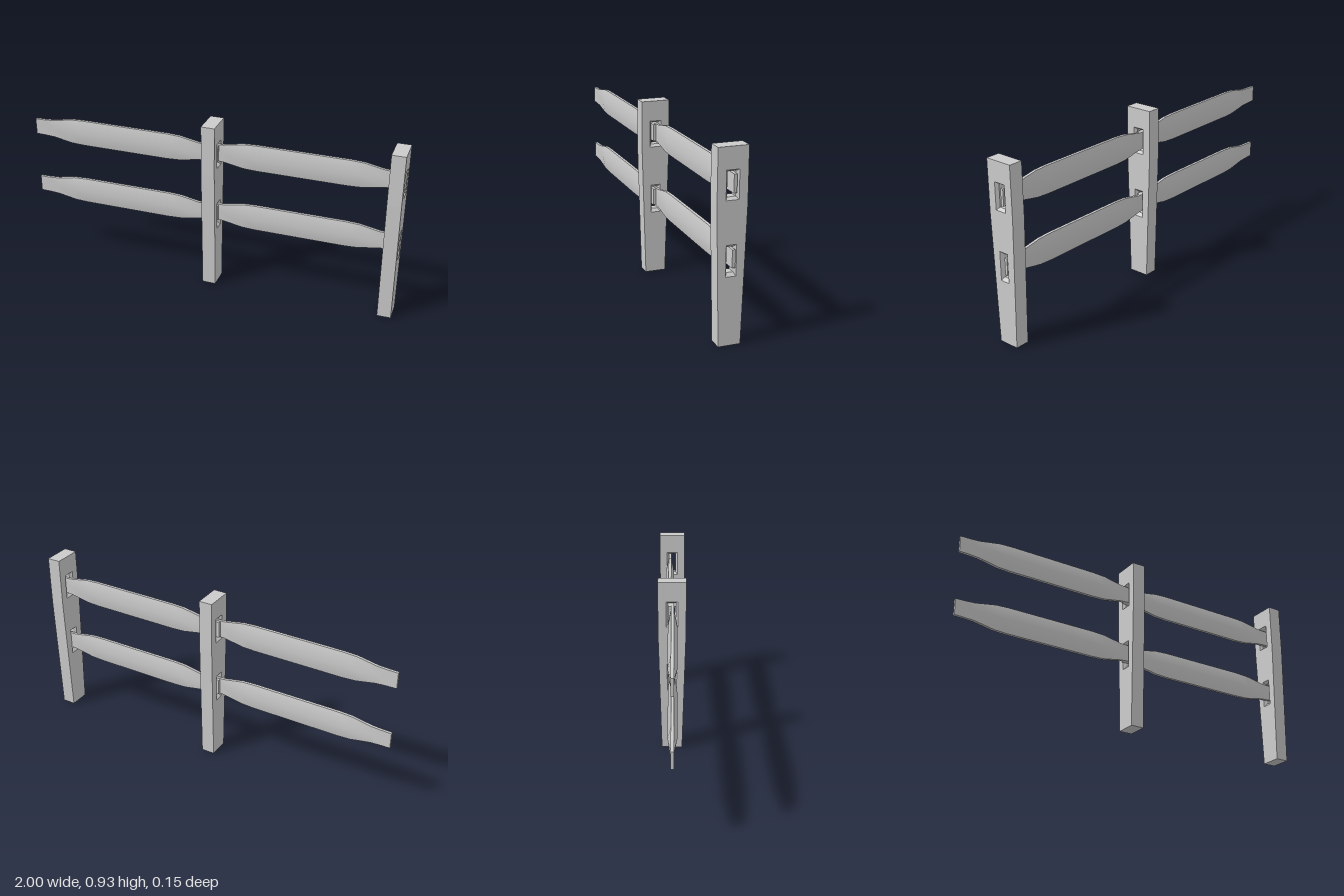
import * as THREE from 'three';
import { mergeGeometries, toCreasedNormals } from 'three/addons/utils/BufferGeometryUtils.js';

const material = new THREE.MeshStandardMaterial({ color: 0xcccccc });

// Skin between equal-length loops [u, y] placed at depths d; closed with fans if capped.
function loft(sections, capped) {
  const pos = [];
  const tri = (...pts) => pts.forEach((p) => pos.push(...p));
  const loops = sections.map(({ d, loop }) => loop.map(([u, y]) => [u, y, d]));
  const n = loops[0].length;
  for (let s = 0; s + 1 < loops.length; s++) {
    const a = loops[s], b = loops[s + 1];
    for (let i = 0; i < n; i++) {
      const j = (i + 1) % n;
      tri(a[i], a[j], b[j]);
      tri(a[i], b[j], b[i]);
    }
  }
  if (capped) {
    const first = loops[0], last = loops[loops.length - 1];
    for (let i = 1; i + 1 < n; i++) {
      tri(first[0], first[i + 1], first[i]);
      tri(last[0], last[i], last[i + 1]);
    }
  }
  const geometry = new THREE.BufferGeometry();
  geometry.setAttribute('position', new THREE.Float32BufferAttribute(pos, 3));
  geometry.computeVertexNormals();
  return geometry;
}

// Clockwise rectangle, so that hole walls face inward
const holeLoop = (w, y0, y1) => [[-w, y0], [-w, y1], [w, y1], [w, y0]];
const toVectors = (loop) => loop.map(([u, y]) => new THREE.Vector2(u, y));

// Tapered post with two chamfered mortises running through it
function postGeometry() {
  const half = 0.036, chamfer = 0.015;
  const outline = [[-0.054, 0], [0.054, 0], [0.073, 0.66], [0.073, 0.927], [-0.073, 0.927], [-0.073, 0.66]];
  const mortises = [
    { outer: holeLoop(0.031, 0.686, 0.823), inner: holeLoop(0.02, 0.698, 0.813) },
    { outer: holeLoop(0.025, 0.332, 0.481), inner: holeLoop(0.0165, 0.348, 0.468) },
  ];
  const shape = new THREE.Shape(toVectors(outline));
  mortises.forEach((m) => shape.holes.push(new THREE.Path(toVectors(m.outer))));
  const parts = [loft([{ d: -half, loop: outline }, { d: half, loop: outline }])];
  for (const turn of [0, Math.PI]) {
    const face = new THREE.ShapeGeometry(shape).toNonIndexed();
    face.deleteAttribute('uv');
    parts.push(face.translate(0, 0, half).rotateY(turn));
  }
  for (const { outer, inner } of mortises) {
    parts.push(loft([
      { d: -half, loop: outer },
      { d: -half + chamfer, loop: inner },
      { d: half - chamfer, loop: inner },
      { d: half, loop: outer },
    ]));
  }
  return mergeGeometries(parts).rotateY(Math.PI / 2);
}

// Split rail: thin flat ends swelling to a tall, lens-shaped body
function railGeometry() {
  const t = 0.0075; // half thickness of the top and bottom edges
  // [distance from middle, half height, half bulge]
  const stations = [
    [0.52, 0.043, 0.0076], [0.47, 0.044, 0.0076], [0.415, 0.0475, 0.009],
    [0.31, 0.067, 0.022], [0.24, 0.0705, 0.0235],
  ];
  const all = [
    ...stations.map(([d, h, b]) => [-d, h, b]),
    ...stations.slice().reverse(),
  ];
  const sections = all.map(([d, h, b]) => ({
    d, loop: [[-t, -h], [t, -h], [b, 0], [t, h], [-t, h], [-b, 0]],
  }));
  return toCreasedNormals(loft(sections, true), 0.6).rotateY(Math.PI / 2);
}

export function createModel() {
  const group = new THREE.Group();
  const add = (name, geometry, x, y, z) => {
    const mesh = new THREE.Mesh(geometry, material);
    mesh.name = name;
    mesh.position.set(x, y, z);
    group.add(mesh);
  };

  const post = postGeometry();
  add('middlePost', post, 0.007, 0, 0);
  add('endPost', post, 0.964, 0, 0);

  // Rail ends lie side by side inside the middle post
  const rail = railGeometry();
  for (const [level, y] of [['upper', 0.759], ['lower', 0.414]]) {
    add(level + 'RightRail', rail, -0.48, y, 0.0035);
    add(level + 'LeftRail', rail, 0.48, y, -0.0125);
  }
  return group;
}
